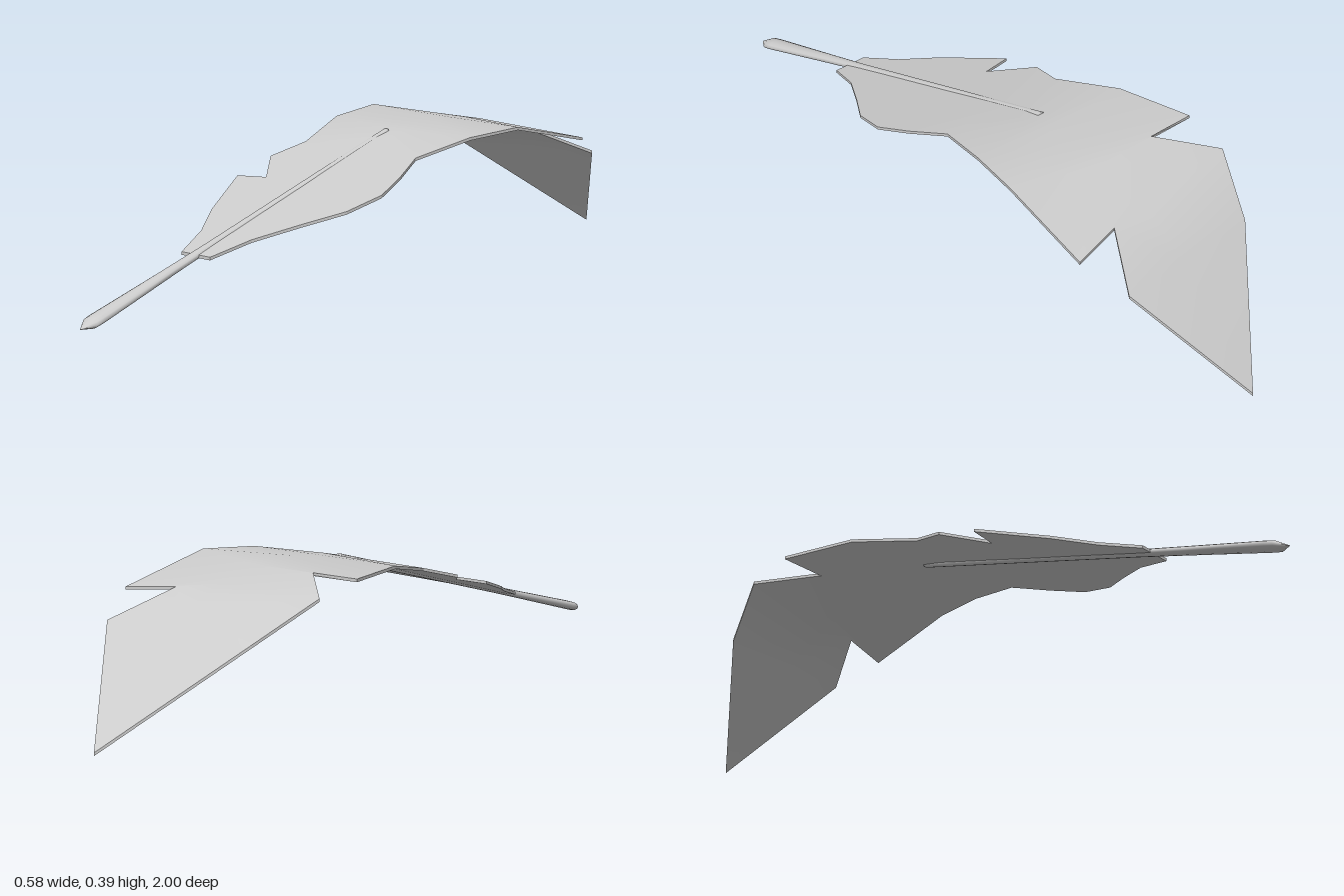
import * as THREE from 'three';
import { mergeVertices } from 'three/addons/utils/BufferGeometryUtils.js';

const THICK = 0.008;

// Bend of the vane along its spine: [distance towards the tip, height of the upper face]
const BEND = [
  [-0.6, 0.165], [-0.4, 0.221], [-0.2, 0.276], [-0.05, 0.318], [0.03, 0.34], [0.12, 0.365], [0.17, 0.376],
  [0.23, 0.383], [0.3, 0.387], [0.37, 0.387], [0.43, 0.381], [0.5, 0.367], [0.56, 0.351], [0.61, 0.334],
  [0.67, 0.306], [0.74, 0.264], [1, 0.008],
];
function height(v) {
  let i = 1;
  while (i < BEND.length - 1 && v > BEND[i][0]) i++;
  const [a, ya] = BEND[i - 1], [b, yb] = BEND[i];
  return ya + (yb - ya) * (v - a) / (b - a);
}

// A point of the vane: key says which part of the spine it is joined to
const point = (x, v, key = v, y = height(v)) => ({ x, y, z: -v, key });

const TIP = point(0.052, 1);
const SPINE = BEND.map(([v]) => (v === 1 ? TIP : point(-0.006 + 0.036 * (v + 0.6), v)));

// Ragged edges from base to tip
const LEFT = [
  point(0.042, -0.6), point(0.08, -0.49), point(0.15, -0.38), point(0.215, -0.285), point(0.242, -0.18),
  point(0.22, -0.08), point(0.183, 0.03), point(0.23, 0.2, 0.2, 0.376), point(0.268, 0.36), point(0.29, 0.63, 0.45),
  point(0.145, 0.6, 0.57), point(0.24, 0.75, 0.74, 0.265), TIP,
];
const RIGHT = [
  point(-0.055, -0.6), point(-0.092, -0.49), point(-0.155, -0.385), point(-0.235, -0.2), point(-0.147, -0.185),
  point(-0.23, -0.075), point(-0.197, 0.03), point(-0.25, 0.22, 0.22, 0.379), point(-0.292, 0.43, 0.33),
  point(-0.15, 0.425, 0.43), point(-0.28, 0.56), point(-0.2, 0.72, 0.72, 0.253), TIP,
];

// Triangles between one ragged edge and the spine, facing up
function stitch(edge, mirrored) {
  const tris = [];
  const add = (a, b, c) => { if (a !== b && b !== c) tris.push(mirrored ? [a, c, b] : [a, b, c]); };
  let i = 0, j = 0;
  while (i < edge.length - 1 || j < SPINE.length - 1) {
    const spineNext = j < SPINE.length - 1 && (i === edge.length - 1 || SPINE[j + 1].key <= edge[i + 1].key);
    if (spineNext) add(edge[i], SPINE[j + 1], SPINE[j++]);
    else add(edge[i], edge[++i], SPINE[j]);
  }
  return tris;
}

function createVane(material) {
  const group = new THREE.Group();
  group.name = 'vane';
  const at = (p, drop) => [p.x, p.y - drop, p.z];
  const tris = [...stitch(LEFT, false), ...stitch(RIGHT, true)];
  const top = tris.flatMap((t) => t.map((p) => at(p, 0)));
  const bottom = tris.flatMap(([a, b, c]) => [at(a, THICK), at(c, THICK), at(b, THICK)]);

  // Thin edge around the outline
  const loop = [SPINE[0], ...LEFT, ...RIGHT.slice(0, -1).reverse()];
  const rim = loop.flatMap((p, i) => {
    const q = loop[(i + 1) % loop.length];
    return [at(p, THICK), at(q, THICK), at(q, 0), at(p, THICK), at(q, 0), at(p, 0)];
  });

  for (const [name, points, smooth] of [['vaneTop', top, true], ['vaneUnderside', bottom, true], ['vaneEdge', rim, false]]) {
    let g = new THREE.BufferGeometry();
    g.setAttribute('position', new THREE.Float32BufferAttribute(points.flat(), 3));
    if (smooth) g = mergeVertices(g, 1e-5);
    g.computeVertexNormals();
    const mesh = new THREE.Mesh(g, material);
    mesh.name = name;
    group.add(mesh);
  }
  return group;
}

// Quill: a slightly flattened tapered shaft, leaning along the straight part of the vane
function createQuill(material) {
  const profile = [
    [0, -0.16], [0.0115, -0.16], [0.0115, -0.155], [0.0135, 0.55], [0.018, 0.7],
    [0.0265, 0.94], [0.0255, 0.965], [0, 1],
  ].map(([r, z]) => new THREE.Vector2(r, z));
  const g = new THREE.LatheGeometry(profile, 12);
  g.rotateX(Math.PI / 2);
  const pos = g.attributes.position;
  for (let i = 0; i < pos.count; i++) {
    const x = pos.getX(i), y = pos.getY(i), t = (pos.getZ(i) + 0.16) / 1.11;
    const flat = 0.27 + 0.006 / Math.max(Math.hypot(x, y), 0.01);
    pos.setXY(i, x - 0.023 + 0.019 * t, y * flat + 0.369 - 0.303 * t);
  }
  g.computeVertexNormals();
  const mesh = new THREE.Mesh(g, material);
  mesh.name = 'quill';
  return mesh;
}

export function createModel() {
  const group = new THREE.Group();
  group.name = 'feather';
  const material = new THREE.MeshStandardMaterial({ color: 0xcccccc });
  group.add(createVane(material), createQuill(material));
  return group;
}
